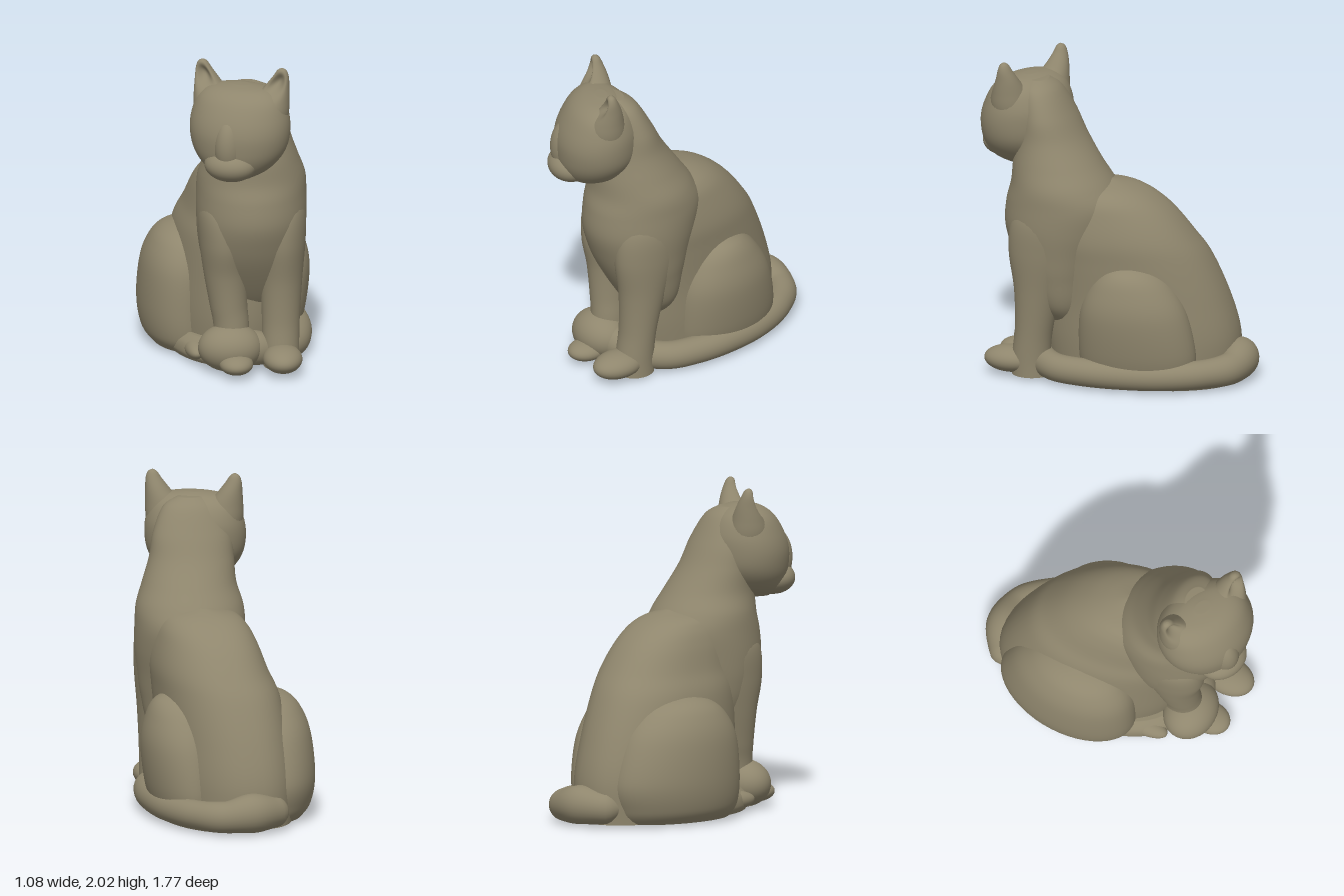
import * as THREE from 'three';
import { mergeVertices } from 'three/addons/utils/BufferGeometryUtils.js';

const clay = new THREE.MeshStandardMaterial({ color: 0x8f866d });
clay.name = 'clay';

const spline = (a, b, c, d, t) =>
  0.5 * (2 * b + (c - a) * t + (2 * a - 5 * b + 4 * c - d) * t * t + (3 * b - a - 3 * c + d) * t * t * t);

// Smooth closed form through level rings; each row is [y, xMin, xMax, zMin, zMax]
function loft(rows, { seg = 48, steps = 8, square = 1, shear = 0, rule } = {}) {
  const pos = [], index = [], last = rows.length - 1, levels = last * steps;
  const row = i => rows[Math.min(last, Math.max(0, i))];
  const soft = v => Math.sign(v) * Math.abs(v) ** square;
  for (let l = 0; l <= levels; l++) {
    const i = Math.min(last - 1, Math.floor(l / steps)), t = l / steps - i;
    const [y, x0, x1, z0, z1] = row(i).map((v, k) => spline(row(i - 1)[k], v, row(i + 1)[k], row(i + 2)[k], t));
    for (let s = 0; s < seg; s++) {
      const a = (s / seg) * Math.PI * 2;
      const dz = soft(Math.sin(a)) * (z1 - z0) / 2;
      const p = new THREE.Vector3((x0 + x1) / 2 + soft(Math.cos(a)) * (x1 - x0) / 2 + shear * dz, y, (z0 + z1) / 2 + dz);
      if (rule) rule(p, a, l / levels);
      pos.push(p.x, p.y, p.z);
    }
  }
  for (let l = 0; l < levels; l++) for (let s = 0; s < seg; s++) {
    const a = l * seg + s, b = l * seg + (s + 1) % seg;
    index.push(a, a + seg, b, b, a + seg, b + seg);
  }
  // flat bottom with its own ring, and a closed top
  const top = levels * seg, bottom = pos.length / 3;
  pos.push(...pos.slice(0, seg * 3));
  const mid = r => [(r[1] + r[2]) / 2, r[0], (r[3] + r[4]) / 2];
  pos.push(...mid(rows[0]), ...mid(rows[last]));
  const c0 = bottom + seg, c1 = c0 + 1;
  for (let s = 0; s < seg; s++) {
    const n = (s + 1) % seg;
    index.push(c0, bottom + s, bottom + n, c1, top + n, top + s);
  }
  const g = new THREE.BufferGeometry();
  g.setAttribute('position', new THREE.Float32BufferAttribute(pos, 3));
  g.setIndex(index);
  g.computeVertexNormals();
  return g;
}

// Tapered tube resting on the ground; each point is [x, y, z, radius]
function taperedTube(points) {
  const curve = new THREE.CatmullRomCurve3(points.map(p => new THREE.Vector3(p[0], p[1], p[2])));
  const n = 96, sides = 28, g = new THREE.TubeGeometry(curve, n, 1, sides);
  const pos = g.attributes.position, v = new THREE.Vector3();
  for (let i = 0; i < pos.count; i++) {
    const u = Math.floor(i / (sides + 1)) / n, c = curve.getPointAt(u);
    const f = curve.getUtoTmapping(u) * (points.length - 1), k = Math.min(points.length - 2, Math.floor(f));
    const r = THREE.MathUtils.lerp(points[k][3], points[k + 1][3], THREE.MathUtils.smoothstep(f - k, 0, 1));
    v.fromBufferAttribute(pos, i).sub(c).multiplyScalar(r).add(c);
    pos.setXYZ(i, v.x, Math.max(0, v.y), v.z);
  }
  g.deleteAttribute('uv');
  g.deleteAttribute('normal');
  const merged = mergeVertices(g, 1e-5);
  merged.computeVertexNormals();
  return merged;
}

export function createModel() {
  const model = new THREE.Group();
  model.name = 'sittingCat';
  const add = (name, geometry, parent = model) => {
    const mesh = new THREE.Mesh(geometry, clay);
    mesh.name = name;
    parent.add(mesh);
    return mesh;
  };
  const blob = (name, center, radii, parent) => {
    const mesh = add(name, new THREE.SphereGeometry(1, 40, 28), parent);
    mesh.position.set(...center);
    mesh.scale.set(...radii);
    return mesh;
  };

  // Flat foot of the figure
  add('base', loft([
    [0, -0.38, 0.45, -0.80, 0.50], [0.04, -0.40, 0.47, -0.82, 0.52],
    [0.10, -0.39, 0.45, -0.79, 0.50], [0.15, -0.34, 0.38, -0.72, 0.44],
  ]));

  // Rounded back and hindquarters
  add('body', loft([
    [0, -0.36, 0.36, -0.74, 0.40], [0.25, -0.37, 0.38, -0.745, 0.44],
    [0.50, -0.35, 0.39, -0.68, 0.45], [0.75, -0.31, 0.41, -0.575, 0.46],
    [0.90, -0.25, 0.42, -0.48, 0.46], [1.05, -0.20, 0.40, -0.36, 0.45],
    [1.15, -0.15, 0.37, -0.24, 0.40], [1.21, -0.08, 0.31, -0.12, 0.35],
    [1.25, 0.08, 0.16, 0.02, 0.20],
  ], { square: 0.9, shear: 0.13 }));

  // Chest rising into the thick neck
  add('chestAndNeck', loft([
    [0.30, 0.05, 0.27, 0.20, 0.36], [0.45, -0.08, 0.40, 0.12, 0.47],
    [0.65, -0.16, 0.45, 0.06, 0.585], [0.80, -0.19, 0.47, 0.01, 0.65],
    [0.95, -0.20, 0.485, -0.04, 0.69], [1.10, -0.20, 0.485, -0.06, 0.68],
    [1.22, -0.19, 0.475, 0.00, 0.65], [1.35, -0.155, 0.43, 0.09, 0.64],
    [1.50, -0.15, 0.38, 0.19, 0.62], [1.65, -0.14, 0.35, 0.27, 0.60],
    [1.80, -0.08, 0.28, 0.36, 0.60], [1.86, 0.02, 0.18, 0.44, 0.56],
  ]));

  // Thighs
  add('leftHaunch', loft([
    [0, 0.10, 0.45, -0.55, 0.14], [0.20, 0.08, 0.505, -0.57, 0.16],
    [0.45, 0.08, 0.53, -0.52, 0.15], [0.62, 0.10, 0.50, -0.43, 0.09],
    [0.72, 0.14, 0.45, -0.33, 0.01], [0.77, 0.26, 0.36, -0.20, -0.10],
  ], { shear: 0.08 }));
  add('rightHaunch', loft([
    [0, -0.46, 0.00, -0.58, 0.21], [0.08, -0.515, 0.00, -0.62, 0.25],
    [0.25, -0.54, 0.00, -0.65, 0.26], [0.50, -0.52, 0.00, -0.57, 0.24],
    [0.65, -0.465, -0.03, -0.46, 0.17], [0.73, -0.39, -0.08, -0.34, 0.07],
    [0.77, -0.28, -0.18, -0.18, -0.08],
  ]));
  blob('rightHindPaw', [-0.20, 0.065, 0.26], [0.075, 0.064, 0.20]);

  // Front legs and paws
  add('leftFrontLeg', loft([
    [0, 0.21, 0.43, 0.36, 0.60], [0.12, 0.20, 0.43, 0.36, 0.60],
    [0.30, 0.20, 0.435, 0.34, 0.58], [0.55, 0.19, 0.452, 0.27, 0.585],
    [0.80, 0.17, 0.475, 0.16, 0.62], [1.00, 0.18, 0.475, 0.12, 0.60],
    [1.15, 0.26, 0.42, 0.22, 0.50],
  ]));
  add('rightFrontLeg', loft([
    [0, -0.10, 0.12, 0.34, 0.60], [0.25, -0.10, 0.12, 0.34, 0.58],
    [0.40, -0.125, 0.11, 0.31, 0.575], [0.60, -0.16, 0.11, 0.25, 0.585],
    [0.80, -0.185, 0.12, 0.16, 0.62], [1.00, -0.19, 0.10, 0.12, 0.60],
    [1.15, -0.13, 0.04, 0.22, 0.50],
  ]));
  blob('leftFrontPaw', [0.32, 0.085, 0.61], [0.122, 0.083, 0.17]);
  blob('rightFrontPaw', [0.03, 0.066, 0.64], [0.105, 0.064, 0.13]);

  // Tail sweeping round the left side and curling over the right paw
  add('tail', taperedTube([
    [-0.28, 0.10, -0.56, 0.01], [-0.20, 0.10, -0.68, 0.10], [-0.05, 0.11, -0.755, 0.125],
    [0.12, 0.09, -0.75, 0.10], [0.27, 0.085, -0.62, 0.09], [0.39, 0.08, -0.38, 0.088],
    [0.443, 0.08, -0.10, 0.088], [0.443, 0.08, 0.10, 0.088], [0.40, 0.08, 0.29, 0.088],
    [0.28, 0.09, 0.42, 0.09], [0.14, 0.12, 0.49, 0.11], [0.00, 0.14, 0.50, 0.10],
  ]));
  blob('tailTip', [0, 0.135, 0.52], [0.20, 0.15, 0.165]);

  // Head, turned towards its right
  const head = new THREE.Group();
  head.name = 'head';
  head.position.set(0.07, 0, 0.56);
  head.rotation.y = -0.42;
  model.add(head);
  add('skull', loft([
    [1.30, -0.10, 0.10, -0.02, 0.18], [1.35, -0.19, 0.19, -0.12, 0.245],
    [1.42, -0.26, 0.26, -0.18, 0.28], [1.50, -0.302, 0.302, -0.22, 0.295],
    [1.60, -0.318, 0.318, -0.23, 0.295], [1.70, -0.308, 0.308, -0.22, 0.265],
    [1.80, -0.27, 0.27, -0.17, 0.205], [1.855, -0.19, 0.19, -0.10, 0.13],
    [1.875, -0.05, 0.05, -0.03, 0.04],
  ]), head);
  blob('muzzle', [0, 1.405, 0.20], [0.165, 0.105, 0.14], head);
  blob('noseBridge', [0, 1.53, 0.20], [0.10, 0.19, 0.125], head);

  // Ears with hollowed fronts
  const ear = loft([
    [1.62, 0.10, 0.29, -0.10, 0.12], [1.72, 0.07, 0.308, -0.11, 0.13],
    [1.80, 0.09, 0.31, -0.10, 0.11], [1.88, 0.155, 0.308, -0.08, 0.075],
    [1.945, 0.205, 0.305, -0.055, 0.04], [1.985, 0.232, 0.292, -0.035, 0.018],
    [2.0, 0.255, 0.270, -0.015, 0.0],
  ], {
    seg: 32,
    rule: (p, a, t) => { p.z -= 0.07 * Math.max(0, Math.sin(a)) ** 4 * Math.exp(-(((t - 0.55) / 0.16) ** 2)); },
  });
  add('leftEar', ear, head);
  add('rightEar', ear, head).scale.x = -1;

  return model;
}
